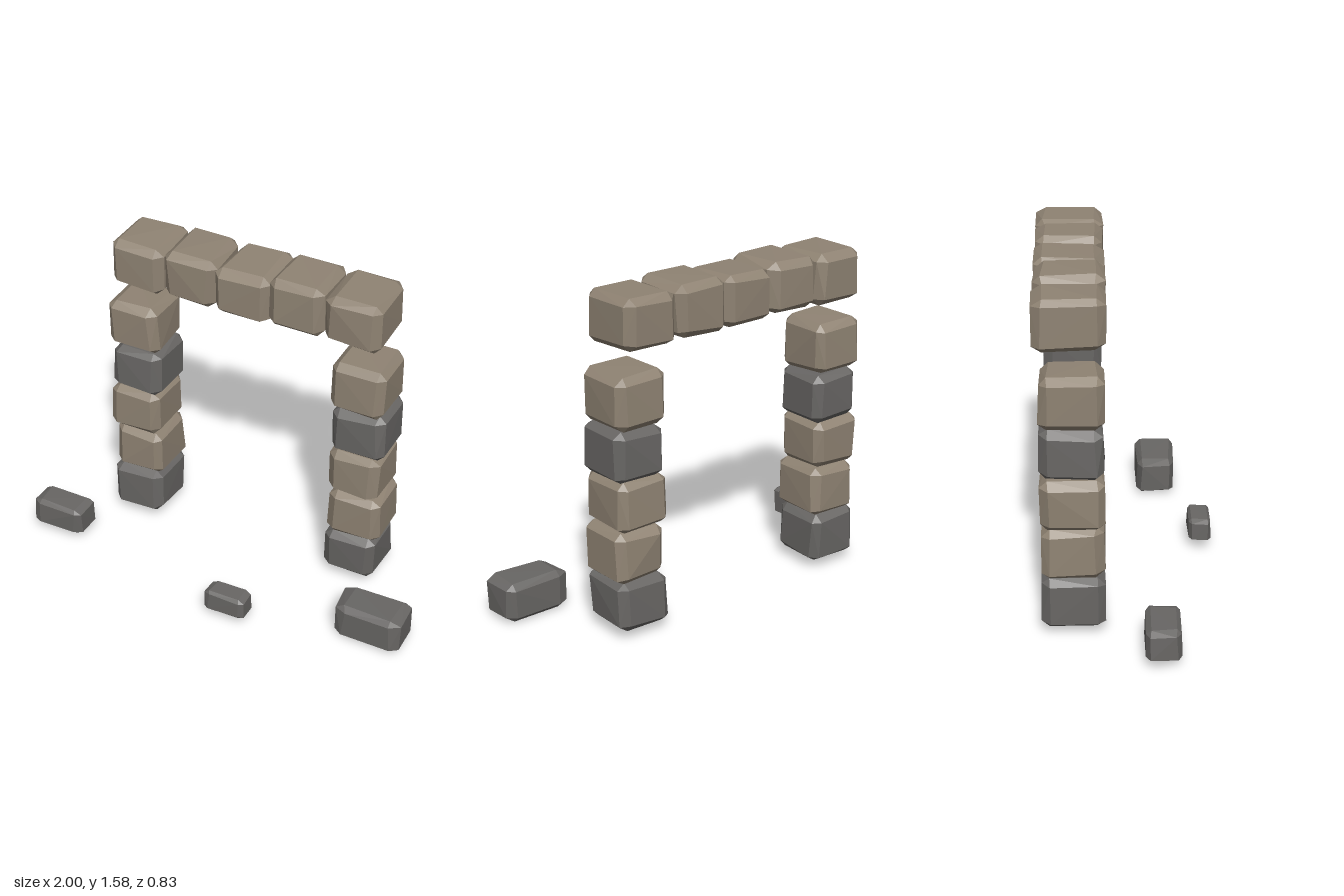
import * as THREE from 'three';
import { ConvexGeometry } from 'three/addons/geometries/ConvexGeometry.js';

const tan = new THREE.MeshStandardMaterial({ color: 0x8f8373, flatShading: true });
const grey = new THREE.MeshStandardMaterial({ color: 0x686664, flatShading: true });

// small seeded generator, returns -1..1
let seed = 11;
const rnd = () => {
  seed = (seed * 16807) % 2147483647;
  return (seed / 2147483647) * 2 - 1;
};

// rough-hewn block: a chamfered box with jittered corners, fitted to its bounds
function stone(name, material, [x0, x1], [y0, y1], [z0, z1]) {
  const size = new THREE.Vector3(x1 - x0, y1 - y0, z1 - z0);
  const inset = [0.14, 0.13, 0.13];
  const points = [];
  for (const sx of [-1, 1]) for (const sy of [-1, 1]) for (const sz of [-1, 1]) {
    // each corner shifts as a whole, then is cut into three points
    const shift = [rnd() * 0.025, rnd() * 0.025, rnd() * 0.025];
    for (let axis = 0; axis < 3; axis++) {
      const p = [sx, sy, sz].map((s, i) =>
        s * (0.5 - (i === axis ? 0 : inset[i] * (1 + rnd() * 0.2))) + shift[i]);
      points.push(new THREE.Vector3(...p));
    }
  }
  const box = new THREE.Box3().setFromPoints(points);
  const span = box.getSize(new THREE.Vector3());
  const low = new THREE.Vector3(x0, y0, z0);
  points.forEach(p => p.sub(box.min).divide(span).multiply(size).add(low));

  const mesh = new THREE.Mesh(new ConvexGeometry(points), material);
  mesh.name = name;
  return mesh;
}

export function createModel() {
  seed = 11;
  const model = new THREE.Group();
  model.name = 'stoneGate';

  // two pillars of five stacked blocks, alternately nudged sideways
  const levels = [0.04, 0.28, 0.52, 0.755, 0.99, 1.235];
  const starts = {
    rightPillar: [-0.715, -0.705, -0.72, -0.705, -0.715],
    leftPillar: [0.435, 0.45, 0.435, 0.45, 0.44],
  };
  for (const [name, xs] of Object.entries(starts)) {
    const pillar = new THREE.Group();
    pillar.name = name;
    xs.forEach((x, i) => pillar.add(stone(
      'pillarStone', i === 0 || i === 3 ? grey : tan,
      [x, x + 0.267], [levels[i] - 0.003, levels[i + 1] + 0.003], [-0.393, -0.105])));
    model.add(pillar);
  }

  // lintel of five blocks resting above the pillars
  const lintel = new THREE.Group();
  lintel.name = 'lintel';
  [-0.68, -0.405, -0.14, 0.125, 0.4].forEach((x, i) => lintel.add(stone(
    'lintelStone', tan, [x, x + 0.272],
    [1.335 + (i % 2) * 0.006, 1.575 + (i % 2) * 0.01], [-0.415, -0.095])));
  model.add(lintel);

  // fallen rubble in front
  model.add(
    stone('rubbleRight', grey, [-1, -0.72], [0.03, 0.18], [0.06, 0.22]),
    stone('rubbleMiddle', grey, [0.07, 0.28], [0.045, 0.16], [0.305, 0.415]),
    stone('rubbleLeft', grey, [0.66, 1], [0.005, 0.195], [0.07, 0.27]));

  return model;
}
